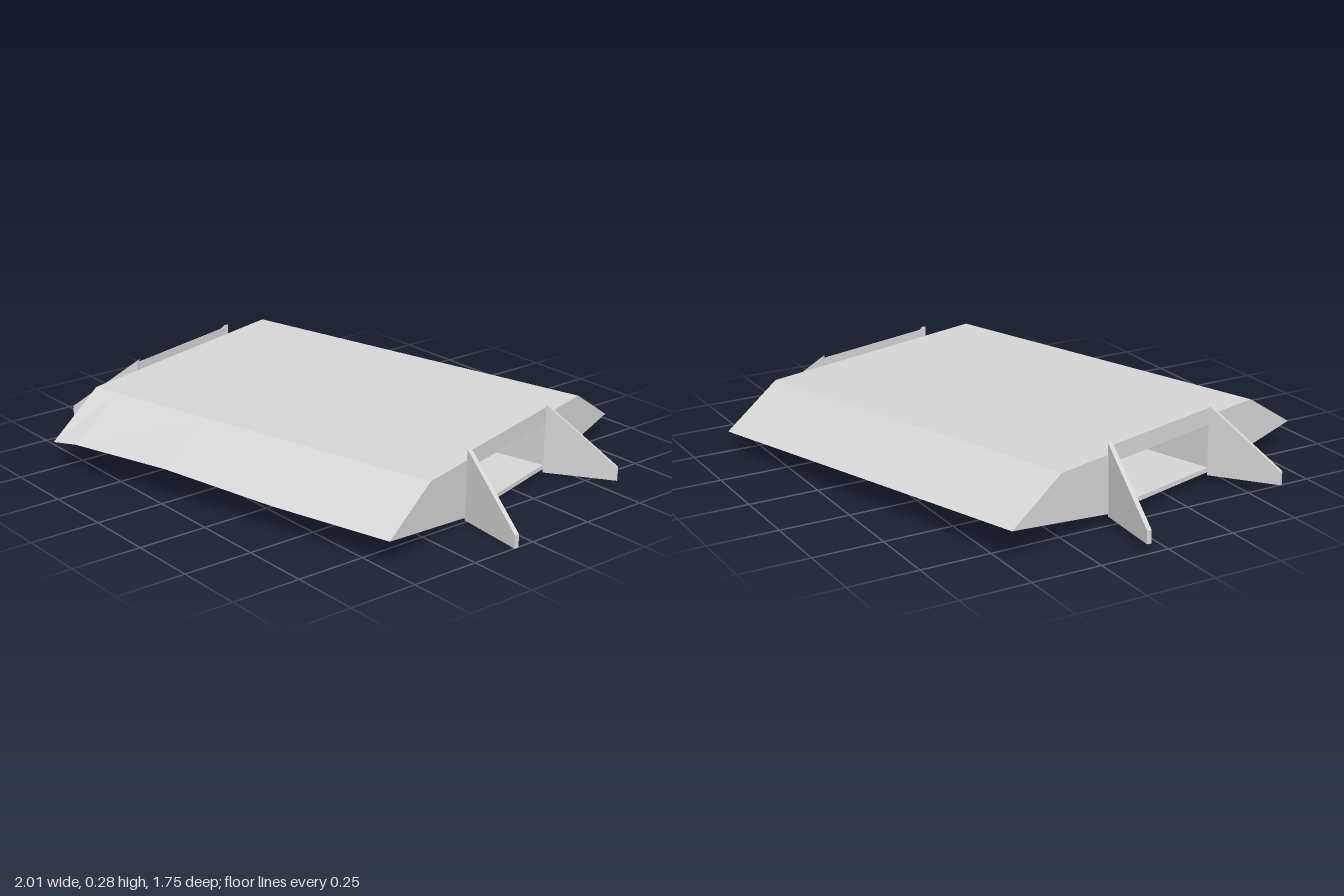
import * as THREE from 'three';

const HALF_LEN = 0.702; // half length of the hull
const BAY = 0.26;       // half width of the central corridor
const FOLD = 0.484;     // where the flat roof bends down
const LIP = 0.709;      // outer edge of the sloped skins
const BASE = 0.027, FLOOR = 0.043, ROOF = 0.232, FOOT = 0.018;

// height of each outer lip along the hull: [x, y], in that side's own frame
const sides = [
  { name: 'frontSide', turn: 0, lip: [[-HALF_LEN, 0.094], [-0.6, 0.109], [-0.2, 0.12], [0.25, 0.105], [HALF_LEN, 0.108]] },
  { name: 'backSide', turn: Math.PI, lip: [[-HALF_LEN, 0.094], [0, 0.1], [HALF_LEN, 0.105]] },
];

export function createModel() {
  const grey = new THREE.MeshStandardMaterial({ color: 0xd6d6d6, side: THREE.DoubleSide });
  grey.name = 'light grey';
  const model = new THREE.Group();
  model.name = 'shelter';

  const add = (name, geometry, parent = model) => {
    const mesh = new THREE.Mesh(geometry, grey);
    mesh.name = name;
    parent.add(mesh);
    return mesh;
  };
  const box = (name, w, h, d, x, y, z) =>
    add(name, new THREE.BoxGeometry(w, h, d)).position.set(x, y, z);

  // flat roof, corridor floor, walls and the thin plates over both doorways
  const top = new THREE.PlaneGeometry(2 * HALF_LEN, 2 * FOLD).rotateX(-Math.PI / 2);
  add('roof', top).position.y = ROOF;
  box('floor', 2 * HALF_LEN - 0.002, FLOOR - BASE, 2 * BAY - 0.002, 0, (FLOOR + BASE) / 2, 0);
  for (const s of [-1, 1]) {
    box('corridorWall', 2 * HALF_LEN - 0.002, ROOF - BASE - 0.002, 0.006, 0, (ROOF + BASE) / 2, s * (BAY - 0.003));
    box('lintel', 0.003, 0.06, 2 * BAY, s * (HALF_LEN + 0.001), 0.231, 0);
  }

  // each side: sloped skin and two end panels
  for (const { name, turn, lip } of sides) {
    const side = new THREE.Group();
    side.name = name;
    side.rotation.y = turn;
    model.add(side);

    const pos = [];
    for (let i = 0; i < lip.length - 1; i++) {
      const [x0, y0] = lip[i], [x1, y1] = lip[i + 1];
      const a = [x0, y0, LIP], b = [x1, y1, LIP];
      const c = [x1, ROOF, FOLD], d = [x0, ROOF, FOLD];
      pos.push(...a, ...b, ...c, ...a, ...c, ...d);
    }
    const skin = new THREE.BufferGeometry();
    skin.setAttribute('position', new THREE.Float32BufferAttribute(pos, 3));
    skin.computeVertexNormals();
    add('slopedSkin', skin, side);

    for (const [x, y] of [lip[0], lip[lip.length - 1]]) {
      const outline = new THREE.Shape([
        new THREE.Vector2(-BAY, BASE), new THREE.Vector2(-LIP, y),
        new THREE.Vector2(-FOLD, ROOF), new THREE.Vector2(-BAY, ROOF),
      ]);
      const panel = new THREE.ShapeGeometry(outline).rotateY(Math.PI / 2);
      panel.translate(x, 0, 0);
      add('endPanel', panel, side);
    }
  }

  // splayed buttress fins at the corridor corners
  const finShape = new THREE.Shape([
    new THREE.Vector2(0, FOOT), new THREE.Vector2(0.258, FOOT),
    new THREE.Vector2(0.258, FOOT + 0.046), new THREE.Vector2(0, 0.27),
  ]);
  const finGeometry = new THREE.ExtrudeGeometry(finShape, { depth: 0.016, bevelEnabled: false });
  finGeometry.translate(0, 0, -0.008);
  for (const sx of [-1, 1]) for (const sz of [-1, 1]) {
    const fin = add('buttressFin', finGeometry);
    fin.position.set(sx * HALF_LEN, 0, sz * (BAY - 0.006));
    fin.rotation.y = Math.atan2(-sz * 0.09, sx * 0.24);
  }

  // row of upright bars inside the corridor
  for (let i = -5; i <= 5; i++) {
    box('gateBar', 0.014, ROOF - FLOOR, 0.017, -0.37, (ROOF + FLOOR) / 2, i * 0.042);
  }

  // slight lean and turn of the whole structure
  model.rotation.set(0, 0.276, -0.018);
  const root = new THREE.Group();
  root.name = 'model';
  root.add(model);
  return root;
}
